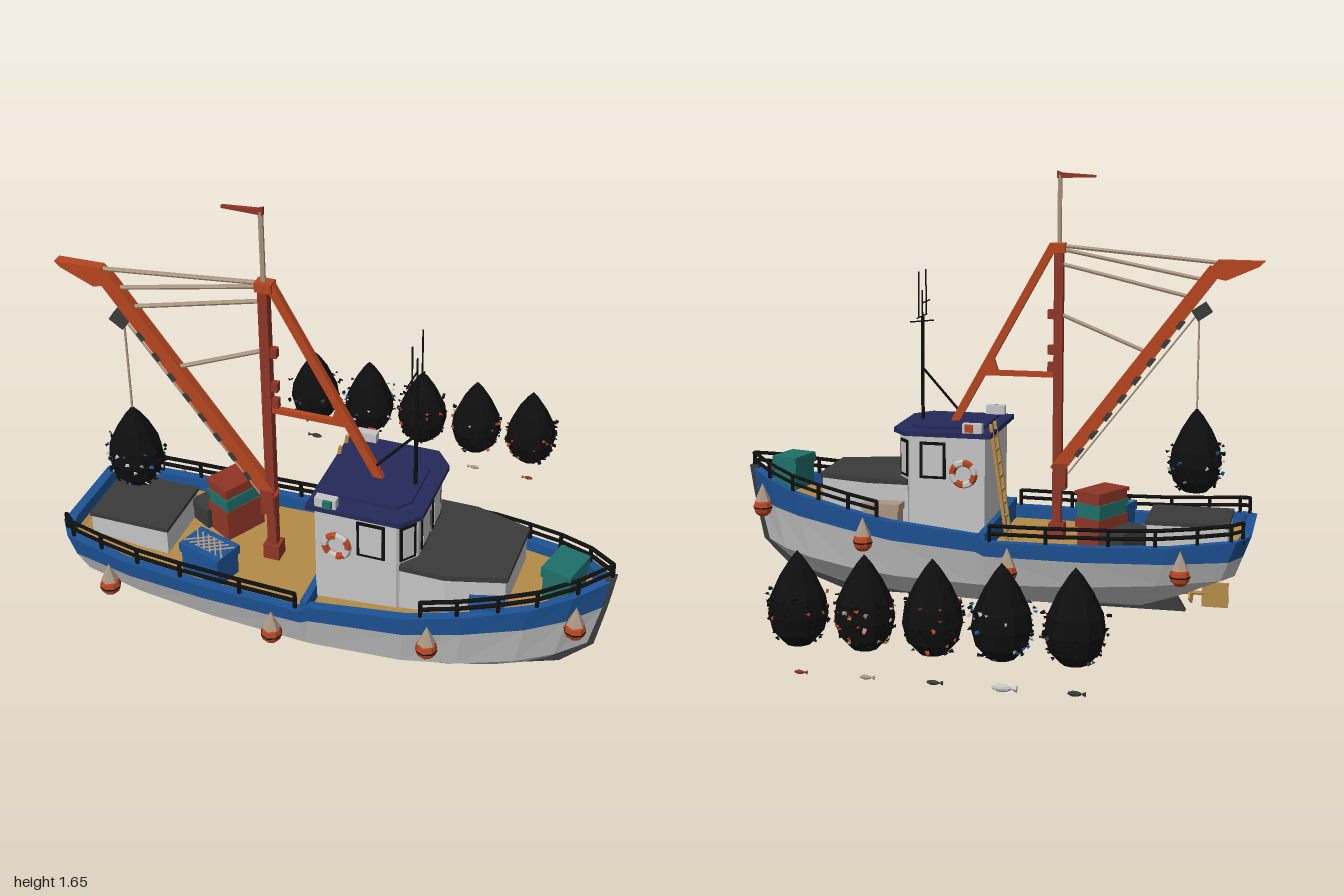
import * as THREE from 'three';
import { mergeGeometries } from 'three/addons/utils/BufferGeometryUtils.js';

const paint = (name, color) => Object.assign(new THREE.MeshStandardMaterial({ color }), { name });
const M = {
  black: paint('black', 0x0e0e0f), dark: paint('dark grey', 0x3a3a3a), white: paint('pale grey', 0xc4c4c4),
  blue: paint('hull blue', 0x1d5396), navy: paint('navy', 0x232a58), orange: paint('orange', 0xb5451f),
  red: paint('brick red', 0x8e3526), tan: paint('deck tan', 0xb48b47), teal: paint('teal', 0x1f6f6a),
  beige: paint('beige', 0xab9783),
};
const V = (p) => new THREE.Vector3(...p);
const UP = new THREE.Vector3(0, 1, 0);

// Small helpers; every geometry is faceted
function flat(g) {
  const f = g.index ? g.toNonIndexed() : g;
  f.computeVertexNormals();
  return f;
}
function add(parent, name, mat, geo, pos = [0, 0, 0], rot = [0, 0, 0]) {
  const m = new THREE.Mesh(flat(geo), mat);
  m.name = name;
  m.position.set(...pos);
  m.rotation.set(...rot);
  parent.add(m);
  return m;
}
const box = (parent, name, mat, size, pos, rot) => add(parent, name, mat, new THREE.BoxGeometry(...size), pos, rot);
function between(parent, name, mat, a, b, geoOf) {
  const d = V(b).sub(V(a));
  const m = add(parent, name, mat, geoOf(d.length()), V(a).add(V(b)).multiplyScalar(0.5).toArray());
  m.quaternion.setFromUnitVectors(UP, d.normalize());
  return m;
}
const rod = (p, n, m, a, b, r = 0.006) => between(p, n, m, a, b, (l) => new THREE.CylinderGeometry(r, r, l, 6));
const beam = (p, n, m, a, b, w, d) => between(p, n, m, a, b, (l) => new THREE.BoxGeometry(w, l, d));
const shapeOf = (pts) => new THREE.Shape(pts.map(([x, y]) => new THREE.Vector2(x, y)));
// Side outline, centred on z = 0
const sideCut = (pts, t) => new THREE.ExtrudeGeometry(shapeOf(pts), { depth: t, bevelEnabled: false }).translate(0, 0, -t / 2);
// Symmetric plan outline (x, half width), raised from y by h
function planCut(half, y, h) {
  const pts = [...half, ...half.map(([x, z]) => [x, -z]).reverse()];
  return new THREE.ExtrudeGeometry(shapeOf(pts), { depth: h, bevelEnabled: false }).rotateX(-Math.PI / 2).translate(0, y, 0);
}
// Faceted skin over a grid of points
function skin(grid, flip = false) {
  const out = [];
  const tri = (a, b, c) => out.push(...a, ...(flip ? c : b), ...(flip ? b : c));
  for (let i = 0; i + 1 < grid.length; i++)
    for (let j = 0; j + 1 < grid[i].length; j++) {
      const a = grid[i][j], b = grid[i + 1][j], c = grid[i][j + 1], d = grid[i + 1][j + 1];
      tri(a, c, b);
      tri(b, c, d);
    }
  return new THREE.BufferGeometry().setAttribute('position', new THREE.Float32BufferAttribute(out, 3));
}

// Hull stations: x, half width, gunwale height, lower edge of the blue band
const STATIONS = [
  [-0.99, 0.175, 0.35, 0.27], [-0.94, 0.245, 0.34, 0.262], [-0.7, 0.285, 0.315, 0.25], [-0.4, 0.305, 0.305, 0.245],
  [-0.02, 0.318, 0.305, 0.25], [0.01, 0.318, 0.33, 0.265], [0.35, 0.3, 0.36, 0.285], [0.55, 0.26, 0.39, 0.31],
  [0.75, 0.19, 0.42, 0.33], [0.88, 0.115, 0.45, 0.345], [0.99, 0.012, 0.475, 0.36],
];
function section([x, w, top, band], s) {
  const xi = THREE.MathUtils.clamp(x, -0.955, 0.95), wi = Math.max(w - 0.035, 0.001);
  const deck = top - (x < 0 ? 0.05 : 0.04);
  const k = x < 0 ? [0.97, 0.94, 0.74, 0.57] : [0.98, 0.94, 0.82, 0.62];
  return [
    [xi, deck, 0], [xi, deck, s * wi], [xi, top, s * wi], [x, top, s * w], [x * k[0], band, s * w * 0.98],
    [x * k[1], 0.13 + 0.06 * x * x, s * w * 0.86], [x * k[2], 0.04 + 0.05 * x * x, s * w * 0.53], [x * k[3], 0.01, s * 0.012],
  ];
}
function gunwale(x, s, up, inset = 0.015) {
  const i = Math.max(1, STATIONS.findIndex((p) => p[0] >= x));
  const a = STATIONS[i - 1], b = STATIONS[i], t = (x - a[0]) / (b[0] - a[0]);
  const mix = (n) => a[n] + (b[n] - a[n]) * t;
  return [x, mix(2) + up, s * Math.max(mix(1) - inset, 0)];
}

function buildHull(boat) {
  for (const s of [1, -1]) {
    const rows = STATIONS.map((p) => section(p, s));
    const strip = (name, mat, a, b) => add(boat, name, mat, skin(rows.map((r) => r.slice(a, b + 1)), s < 0));
    strip('deck', M.tan, 0, 1);
    strip('bulwark', M.blue, 1, 4);
    strip('hullSide', M.white, 4, 7);
  }
  const ends = [-1, 1].map((s) => section(STATIONS[0], s));
  add(boat, 'sternBulwark', M.blue, skin(ends.map((r) => r.slice(1, 5))));
  add(boat, 'transom', M.white, skin(ends.map((r) => r.slice(4))));
  box(boat, 'deckStep', M.blue, [0.025, 0.08, 0.6], [-0.01, 0.295, 0]);
  add(boat, 'keelAndStem', M.dark, sideCut([[-0.74, 0], [0.61, 0], [0.83, 0.08], [0.945, 0.19], [0.98, 0.36], [1, 0.485],
    [0.965, 0.485], [0.93, 0.33], [0.88, 0.19], [0.76, 0.09], [0.58, 0.025], [-0.52, 0.03], [-0.6, 0.09], [-0.71, 0.05]], 0.034));
  // Rudder and propeller
  box(boat, 'rudder', M.tan, [0.1, 0.095, 0.012], [-0.85, 0.068, 0]);
  rod(boat, 'rudderStock', M.tan, [-0.82, 0.1, 0], [-0.82, 0.2, 0]);
  rod(boat, 'propellerShaft', M.tan, [-0.81, 0.072, 0], [-0.62, 0.072, 0], 0.008);
  for (let i = 0; i < 3; i++) {
    const a = (i * Math.PI * 2) / 3;
    box(boat, 'propellerBlade', M.tan, [0.008, 0.04, 0.024], [-0.76, 0.072 + 0.024 * Math.cos(a), 0.024 * Math.sin(a)], [a, 0.4, 0]);
  }
  // Rails and hanging buoys on both sides
  for (const s of [1, -1]) {
    for (const xs of [[-0.96, -0.92, -0.8, -0.65, -0.48, -0.25, -0.04], [0.4, 0.52, 0.65, 0.77, 0.89, 0.985]]) {
      for (const up of [0.03, 0.06])
        xs.slice(1).forEach((x, i) => rod(boat, 'rail', M.black, gunwale(xs[i], s, up), gunwale(x, s, up), 0.0075));
      for (const x of xs) rod(boat, 'railPost', M.black, gunwale(x, s, -0.02), gunwale(x, s, 0.062), 0.0075);
    }
    for (const [x, y, z] of [[-0.745, 0.22, 0.312], [-0.115, 0.202, 0.34], [0.44, 0.283, 0.327], [0.9, 0.35, 0.148]]) {
      add(boat, 'buoy', M.orange, new THREE.SphereGeometry(0.038, 8, 6), [x, y, s * z]);
      add(boat, 'buoyBand', M.black, new THREE.CylinderGeometry(0.0385, 0.0385, 0.005, 8), [x, y, s * z]);
      add(boat, 'buoyRope', M.beige, new THREE.ConeGeometry(0.032, 0.07, 6), [x, y + 0.06, s * z]);
    }
  }
  add(boat, 'sternHatch', M.white, planCut([[-0.9, 0.13], [-0.6, 0.13]], 0.26, 0.1));
  add(boat, 'sternHatchLid', M.dark, planCut([[-0.905, 0.135], [-0.595, 0.135]], 0.36, 0.015));
}

function framedWindow(boat, x, y, z, w, h, turn) {
  const g = new THREE.Group();
  g.name = 'window';
  g.position.set(x, y, z);
  g.rotation.y = turn;
  box(g, 'windowFrame', M.black, [w, h, 0.006], [0, 0, 0.002]);
  box(g, 'windowPane', M.white, [w - 0.022, h - 0.022, 0.006], [0, 0, 0.004]);
  boat.add(g);
}
function buildCabin(boat) {
  add(boat, 'cabin', M.white, planCut([[0, 0.2], [0.29, 0.2], [0.345, 0.13]], 0.27, 0.405));
  add(boat, 'cabinRoof', M.navy, planCut([[-0.025, 0.222], [0.305, 0.222], [0.365, 0.15]], 0.673, 0.018));
  add(boat, 'roofCrown', M.navy, planCut([[0.02, 0.15], [0.27, 0.15], [0.31, 0.1]], 0.69, 0.01));
  add(boat, 'trunk', M.white, planCut([[0.3, 0.195], [0.46, 0.195], [0.655, 0.14]], 0.3, 0.18));
  add(boat, 'trunkTop', M.dark, planCut([[0.3, 0.202], [0.46, 0.202], [0.662, 0.145]], 0.48, 0.02));
  for (const s of [1, -1]) {
    framedWindow(boat, 0.2, 0.58, s * 0.2, 0.1, 0.14, s > 0 ? 0 : Math.PI);
    framedWindow(boat, 0.3175, 0.58, s * 0.165, 0.065, 0.14, s > 0 ? 0.905 : Math.PI - 0.905);
    framedWindow(boat, 0.345, 0.58, s * 0.06, 0.09, 0.14, Math.PI / 2);
    // Life ring in alternating quarters
    for (let i = 0; i < 8; i++)
      add(boat, 'lifeRing', i % 2 ? M.white : M.orange, new THREE.TorusGeometry(0.042, 0.013, 6, 3, Math.PI / 4),
        [0.08, 0.535, s * 0.21], [0, 0, (i * Math.PI) / 4]);
    // Side lights
    box(boat, 'sideLightBox', M.white, [0.075, 0.035, 0.03], [0.045, 0.71, s * 0.205]);
    box(boat, 'sideLight', s > 0 ? M.teal : M.orange, [0.03, 0.028, 0.02], [0.055, 0.712, s * 0.222]);
  }
  // Ladder behind the cabin
  for (const z of [-0.165, -0.095]) beam(boat, 'ladderRail', M.tan, [-0.08, 0.26, z], [-0.015, 0.72, z], 0.012, 0.012);
  for (let i = 1; i < 9; i++) {
    const t = i / 9;
    box(boat, 'ladderRung', M.tan, [0.01, 0.01, 0.07], [-0.08 + 0.065 * t, 0.26 + 0.46 * t, -0.13]);
  }
  // Aerial
  rod(boat, 'aerialMast', M.black, [0.29, 0.69, 0], [0.29, 1.1, 0], 0.007);
  rod(boat, 'aerialBrace', M.black, [0.13, 0.72, 0], [0.29, 0.9, 0], 0.005);
  const thin = [
    [[0.29, 1.1, -0.08], [0.29, 1.1, 0.065]], [[0.29, 1.1, 0.055], [0.29, 1.275, 0.055]], [[0.29, 1.1, -0.055], [0.29, 1.275, -0.055]],
    [[0.29, 1.15, 0], [0.29, 1.15, 0.11]], [[0.29, 1.1, 0], [0.29, 1.2, 0]], [[0.245, 1.085, 0], [0.34, 1.075, 0]],
  ];
  for (const [a, b] of thin) rod(boat, 'aerialRod', M.black, a, b, 0.003);
}

function buildRigging(boat) {
  box(boat, 'mast', M.red, [0.034, 1.12, 0.034], [-0.24, 0.82, 0]);
  box(boat, 'mastFoot', M.red, [0.06, 0.06, 0.06], [-0.24, 0.285, 0]);
  box(boat, 'mastCap', M.orange, [0.06, 0.035, 0.045], [-0.235, 1.37, 0]);
  rod(boat, 'topMast', M.beige, [-0.24, 1.38, 0], [-0.24, 1.64, 0], 0.009);
  add(boat, 'topArm', M.red, sideCut([[-0.375, 1.632], [-0.23, 1.628], [-0.23, 1.655], [-0.25, 1.648], [-0.375, 1.64]], 0.014));
  for (const y of [0.92, 0.985, 1.12]) box(boat, 'mastCleat', M.red, [0.025, 0.035, 0.025], [-0.212, y, 0]);
  // Boom with its pulleys, line and tip
  beam(boat, 'boom', M.orange, [-0.235, 0.52, 0], [-0.82, 1.3, 0], 0.052, 0.035);
  add(boat, 'boomTip', M.orange, sideCut([[-1, 1.335], [-0.98, 1.315], [-0.86, 1.262], [-0.775, 1.28], [-0.83, 1.337]], 0.04));
  box(boat, 'boomHeel', M.red, [0.05, 0.1, 0.05], [-0.25, 0.5, 0]);
  rod(boat, 'boomLine', M.beige, [-0.28, 0.51, 0], [-0.77, 1.15, 0], 0.004);
  for (let i = 1; i < 9; i++) {
    const t = i / 9;
    box(boat, 'boomPulley', M.dark, [0.018, 0.034, 0.04], [-0.27 - 0.48 * t, 0.525 + 0.64 * t, 0], [0, 0, 0.64]);
  }
  box(boat, 'hoistBlock', M.dark, [0.06, 0.045, 0.04], [-0.775, 1.145, 0], [0, 0, -0.6]);
  for (const [x1, y1, x2, y2] of [[-0.25, 1.378, -0.84, 1.325], [-0.25, 1.365, -0.79, 1.26], [-0.25, 1.31, -0.72, 1.2], [-0.25, 1.12, -0.58, 0.985]])
    rod(boat, 'boomStay', M.beige, [x1, y1, 0], [x2, y2, 0], 0.008);
  // Forward strut and its brace
  beam(boat, 'forwardStrut', M.orange, [-0.215, 1.375, 0], [0.165, 0.69, 0], 0.03, 0.024);
  beam(boat, 'strutBrace', M.orange, [-0.23, 0.89, 0], [0.055, 0.89, 0], 0.02, 0.02);
  add(boat, 'strutGusset', M.orange, sideCut([[-0.01, 0.89], [0.055, 0.885], [0.01, 0.955]], 0.02));
  rod(boat, 'hoistRope', M.beige, [-0.765, 1.13, 0], [-0.765, 0.77, 0], 0.004);
}

function buildCargo(boat) {
  const crate = (name, mat, [w, h, d], [x, y, z], turn) => {
    const g = new THREE.Group();
    g.name = name;
    g.position.set(x, y, z);
    g.rotation.y = turn;
    box(g, 'crateBody', mat, [w - 0.012, h, d - 0.012], [0, h / 2, 0]);
    box(g, 'crateRim', mat, [w, h * 0.3, d], [0, h * 0.85, 0]);
    boat.add(g);
    return g;
  };
  crate('blackCrate', M.dark, [0.17, 0.09, 0.1], [-0.525, 0.255, -0.145], 1.07);
  crate('lowerRedCrate', M.red, [0.18, 0.13, 0.11], [-0.43, 0.255, -0.115], 1.07);
  crate('tealCrate', M.teal, [0.185, 0.055, 0.115], [-0.43, 0.385, -0.115], 1.1);
  crate('redCrate', M.red, [0.185, 0.045, 0.115], [-0.43, 0.44, -0.115], 1.07);
  const mesh = crate('latticeCrate', M.blue, [0.18, 0.12, 0.12], [-0.42, 0.255, 0.16], -0.3);
  for (let i = -2; i <= 2; i++)
    for (const s of [1, -1]) box(mesh, 'latticeStrip', M.beige, [0.1, 0.004, 0.006], [i * 0.026, 0.121, 0], [0, s * 0.8, 0]);
  crate('beigeCrate', M.beige, [0.15, 0.09, 0.09], [0.39, 0.325, -0.215], -0.05);
  crate('foreBlueCrate', M.blue, [0.12, 0.07, 0.085], [0.6, 0.35, 0.17], 0.2);
  crate('bowCrate', M.teal, [0.11, 0.13, 0.145], [0.83, 0.4, 0.03], -0.25);
}

// Teardrop net full of small catch
const NET = [[0, 0], [0.045, 0.008], [0.085, 0.05], [0.1, 0.11], [0.092, 0.17], [0.06, 0.24], [0.025, 0.295], [0, 0.325]];
function net(parent, pos, mats, spread, seed) {
  const g = new THREE.Group();
  g.name = 'fishingNet';
  g.position.set(...pos);
  add(g, 'netBag', M.black, new THREE.LatheGeometry(NET.map(([r, y]) => new THREE.Vector2(r, y)), 10));
  let state = seed * 7919 + 17;
  const rnd = () => (state = (state * 16807) % 2147483647) / 2147483647;
  mats.forEach((mat, m) => {
    const bits = [];
    for (let i = 0; i < (m ? 14 : 60); i++) {
      const a = rnd() * Math.PI * 2, y = 0.02 + rnd() * 0.17, r = Math.min(0.1, 0.06 + y * 0.45) * (0.95 + spread * rnd());
      const bit = new THREE.TetrahedronGeometry(0.007 + 0.004 * rnd());
      bits.push(bit.scale(1, 0.6, 1.3).rotateY(rnd() * 6).rotateX(rnd() * 6).translate(r * Math.cos(a), y, r * Math.sin(a)));
    }
    add(g, 'netCatch', mat, mergeGeometries(bits));
  });
  parent.add(g);
}

export function createModel() {
  const model = new THREE.Group();
  model.name = 'fishingBoatSet';
  const boat = new THREE.Group();
  boat.name = 'fishingBoat';
  boat.position.z = 0.4;
  model.add(boat);
  buildHull(boat);
  buildCabin(boat);
  buildRigging(boat);
  buildCargo(boat);
  net(boat, [-0.765, 0.46, 0], [M.black, M.blue, M.white], 0.12, 1);
  // Row of spare nets, each with one animal below it
  const kinds = [
    [-0.49, [M.black, M.dark], M.dark, 0.024], [-0.25, [M.black, M.blue, M.white], M.white, 0.034], [-0.02, [M.black, M.orange], M.dark, 0.022],
    [0.21, [M.black, M.orange, M.beige], M.beige, 0.02], [0.44, [M.black, M.orange], M.red, 0.018],
  ];
  kinds.forEach(([x, mats, mat, size], i) => {
    net(model, [x, 0.12, -0.665], mats, i < 2 ? 0.16 : 0.06, i + 2);
    add(model, 'fishBody', mat, new THREE.SphereGeometry(size, 8, 6).scale(1, 0.4, 0.35), [x, 0.025, -0.665]);
    add(model, 'fishTail', mat, new THREE.ConeGeometry(size * 0.4, size * 0.7, 4), [x - size * 1.15, 0.025, -0.665], [0, 0, -Math.PI / 2]);
  });
  return model;
}
